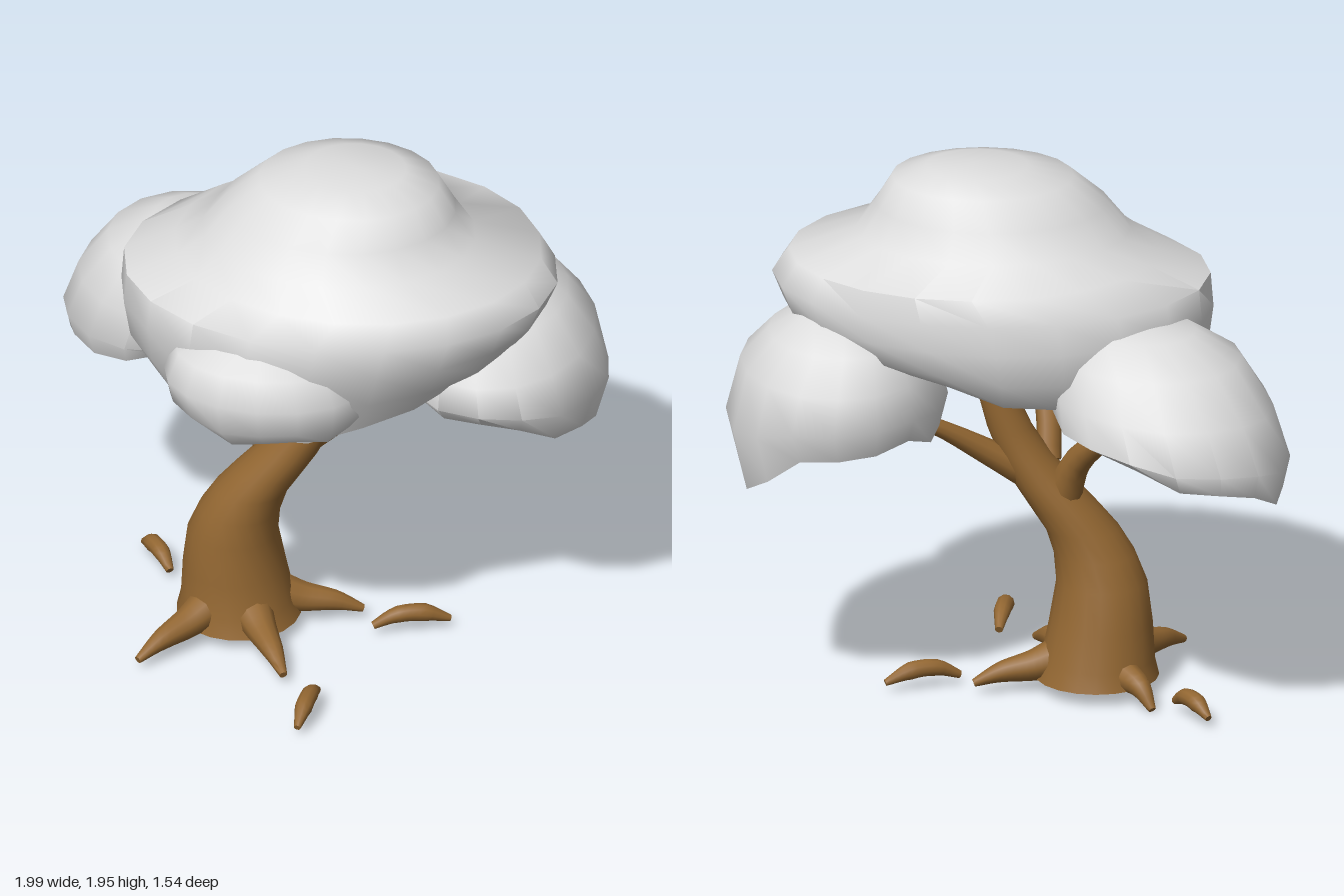
import * as THREE from 'three';
import { toCreasedNormals } from 'three/addons/utils/BufferGeometryUtils.js';

const foliage = new THREE.MeshStandardMaterial({ color: 0xdedede });
foliage.name = 'pale grey foliage';
const bark = new THREE.MeshStandardMaterial({ color: 0x936732 });
bark.name = 'brown bark';

// Skin closed rings of points; a one-point row makes a pole
function loft(rows, n) {
  const pos = [], index = [], start = [];
  for (const row of rows) {
    start.push(pos.length / 3);
    for (const p of row) pos.push(p.x, p.y, p.z);
  }
  const at = (i, j) => start[i] + (rows[i].length === 1 ? 0 : j % n);
  for (let i = 0; i < rows.length - 1; i++) {
    for (let j = 0; j < n; j++) {
      const p = at(i, j), r = at(i, j + 1), q = at(i + 1, j), s = at(i + 1, j + 1);
      if (p !== r) index.push(p, r, q);
      if (q !== s) index.push(r, s, q);
    }
  }
  const g = new THREE.BufferGeometry();
  g.setAttribute('position', new THREE.Float32BufferAttribute(pos, 3));
  g.setIndex(index);
  g.computeVertexNormals();
  return g;
}

// Horizontal elliptical rings, top to bottom: [y, x0, x1, z0, z1, rim weight]
function ringStack(rings, n, lift = () => 0, jag = 0) {
  return loft(rings.map(([y, x0, x1, z0, z1, w = 0]) => {
    const single = x0 === x1;
    return Array.from({ length: single ? 1 : n }, (_, j) => {
      const a = (j / n) * Math.PI * 2;
      const x = (x0 + x1) / 2 + (x1 - x0) / 2 * Math.cos(a);
      const z = (z0 + z1) / 2 + (z1 - z0) / 2 * Math.sin(a);
      const wave = single ? 0 : jag * (Math.sin(a * 5 + 1) * 0.6 + Math.sin(a * 3) * 0.4);
      return new THREE.Vector3(x, y + w * (lift(x, z) + wave), z);
    });
  }), n);
}

// Tapered round limb along a smooth path
function limb(points, radii, n = 10, steps = 12) {
  const curve = new THREE.CatmullRomCurve3(points.map(p => new THREE.Vector3(...p)));
  const f = curve.computeFrenetFrames(steps);
  const rows = [[curve.getPointAt(0)]];
  for (let i = 0; i <= steps; i++) {
    const t = i / steps, c = curve.getPointAt(t);
    const k = t * (radii.length - 1), m = Math.min(Math.floor(k), radii.length - 2);
    const r = THREE.MathUtils.lerp(radii[m], radii[m + 1], k - m);
    rows.push(Array.from({ length: n }, (_, j) => {
      const a = (j / n) * Math.PI * 2;
      return c.clone().addScaledVector(f.normals[i], r * Math.cos(a))
        .addScaledVector(f.binormals[i], r * Math.sin(a));
    }));
  }
  rows.push([curve.getPointAt(1)]);
  return loft(rows, n);
}

export function createModel() {
  const tree = new THREE.Group();
  tree.name = 'tree';
  const add = (name, geo, mat) => {
    const mesh = new THREE.Mesh(toCreasedNormals(geo, 0.95), mat);
    mesh.name = name;
    tree.add(mesh);
  };

  // Main crown with a stepped top and hollow underside
  add('mainCrown', ringStack([
    [1.95, 0.13, 0.13, 0.07, 0.07],
    [1.942, -0.06, 0.3, -0.1, 0.22],
    [1.9, -0.22, 0.42, -0.2, 0.35],
    [1.8, -0.34, 0.48, -0.26, 0.42],
    [1.7, -0.42, 0.55, -0.31, 0.48],
    [1.63, -0.52, 0.78, -0.48, 0.6],
    [1.54, -0.7, 0.84, -0.51, 0.65],
    [1.42, -0.71, 0.8, -0.51, 0.64, 0.1],
    [1.28, -0.69, 0.74, -0.5, 0.59, 0.4],
    [1.14, -0.6, 0.64, -0.42, 0.51, 1],
    [1.25, -0.38, 0.38, -0.25, 0.32, 0.5],
    [1.3, 0.02, 0.02, 0.04, 0.04],
  ], 20, (x, z) => 0.3 * Math.max(x, 0) - 0.15 * z, 0.02), foliage);

  // Back crown, drooping along its long axis and turned to the back of the -x side
  add('backCrown', ringStack([
    [1.48, 0.5, 0.5, -0.14, -0.14],
    [1.46, 0.3, 0.72, -0.32, 0.04],
    [1.37, 0.23, 0.89, -0.45, 0.16],
    [1.23, 0.2, 1.02, -0.52, 0.23, 0.2],
    [1.1, 0.22, 1.1, -0.54, 0.25, 0.5],
    [1.05, 0.27, 1.07, -0.51, 0.2, 1],
    [1.13, 0.42, 0.9, -0.36, 0.08, 0.7],
    [1.2, 0.66, 0.66, -0.14, -0.14],
  ], 16, (u, v) => -0.25 * (u - 0.66) + 0.2 * (v + 0.14), 0.035).rotateY(Math.PI * 0.75), foliage);

  // Side crown on the +x side, drooping outward
  add('sideCrown', ringStack([
    [1.48, 0.58, 0.58, -0.13, -0.13],
    [1.46, 0.42, 0.74, -0.29, 0.06],
    [1.39, 0.31, 0.85, -0.43, 0.24],
    [1.27, 0.25, 0.95, -0.52, 0.39],
    [1.1, 0.22, 1, -0.54, 0.4, 0.4],
    [0.95, 0.25, 0.95, -0.49, 0.29, 1],
    [1.07, 0.4, 0.8, -0.33, 0.13, 0.7],
    [1.16, 0.58, 0.58, -0.12, -0.12],
  ], 16, (x, z) => -0.25 * (x - 0.55) + 0.28 * Math.abs(z + 0.18), 0.045), foliage);

  // Small front crown
  add('frontCrown', ringStack([
    [1.49, -0.13, -0.13, 0.44, 0.44],
    [1.475, -0.34, 0.08, 0.28, 0.61],
    [1.41, -0.46, 0.19, 0.22, 0.68],
    [1.3, -0.5, 0.24, 0.18, 0.71],
    [1.2, -0.48, 0.23, 0.18, 0.7, 0.5],
    [1.13, -0.42, 0.19, 0.22, 0.63, 1],
    [1.2, -0.28, 0.06, 0.31, 0.54],
    [1.25, -0.13, -0.13, 0.44, 0.44],
  ], 16, () => 0, 0.035), foliage);

  // Leaning trunk: [y, x, z, radius]
  add('trunk', ringStack([
    [1.36, 0.1, 0.03, 0], [1.35, 0.1, 0.03, 0.05], [1.1, 0.05, 0.04, 0.068],
    [0.97, 0.005, 0.05, 0.08], [0.87, -0.045, 0.055, 0.093], [0.76, -0.12, 0.055, 0.11],
    [0.67, -0.19, 0.055, 0.122], [0.59, -0.25, 0.055, 0.13], [0.5, -0.293, 0.05, 0.144],
    [0.4, -0.318, 0.04, 0.16], [0.25, -0.315, 0.025, 0.183], [0.12, -0.305, 0.02, 0.2],
    [0.055, -0.3, 0.02, 0.22], [0.055, -0.3, 0.02, 0],
  ].map(([y, x, z, r]) => [y, x - r, x + r, z - r, z + r]), 20), bark);

  // Branches reaching into the crowns
  const branches = {
    backBranch: [[[-0.17, 0.66, 0.04], [-0.23, 0.86, -0.03], [-0.36, 1.01, -0.16], [-0.47, 1.06, -0.24], [-0.53, 1.14, -0.27]], [0.07, 0.055, 0.042, 0.028, 0.02]],
    backTwig: [[[-0.33, 0.99, -0.13], [-0.44, 1.03, -0.24], [-0.55, 1.03, -0.32], [-0.61, 1.09, -0.35]], [0.035, 0.025, 0.022, 0.018]],
    sideBranch: [[[-0.05, 0.8, 0.04], [0.1, 0.9, 0], [0.25, 1.0, -0.06], [0.42, 1.09, -0.12], [0.5, 1.18, -0.14]], [0.055, 0.045, 0.032, 0.025, 0.02]],
    frontBranch: [[[-0.13, 0.83, 0.09], [-0.13, 0.95, 0.15], [-0.11, 1.1, 0.24], [-0.11, 1.26, 0.38]], [0.045, 0.043, 0.036, 0.025]],
  };
  for (const [name, [path, radii]] of Object.entries(branches)) add(name, limb(path, radii), bark);

  // Roots flaring out of the trunk: tip [x, y, z]
  const roots = [[-0.6, 0.045, 0.4], [-0.08, 0.045, 0.42], [0.13, 0.045, -0.06], [-0.5, 0.015, -0.24]];
  for (const [x, y, z] of roots) {
    const mix = (t, h) => [-0.3 + (x + 0.3) * t, h, 0.02 + (z - 0.02) * t];
    add('root', limb([mix(0.28, 0.13), mix(0.5, 0.1), mix(0.78, 0.08), [x, y, z]],
      [0.075, 0.055, 0.038, 0.014]), bark);
  }

  // Root arches breaking the ground away from the trunk: [x0, z0, x1, z1]
  const arches = [[0.18, 0.04, 0.44, -0.05], [0.05, 0.49, 0.02, 0.75], [-0.58, -0.21, -0.7, -0.39]];
  for (const [x0, z0, x1, z1] of arches) {
    const mix = (t, h) => [x0 + (x1 - x0) * t, h, z0 + (z1 - z0) * t];
    add('rootArch', limb([mix(0, 0.04), mix(0.3, 0.075), mix(0.65, 0.075), mix(1, 0.04)],
      [0.014, 0.03, 0.032, 0.012]), bark);
  }
  return tree;
}
